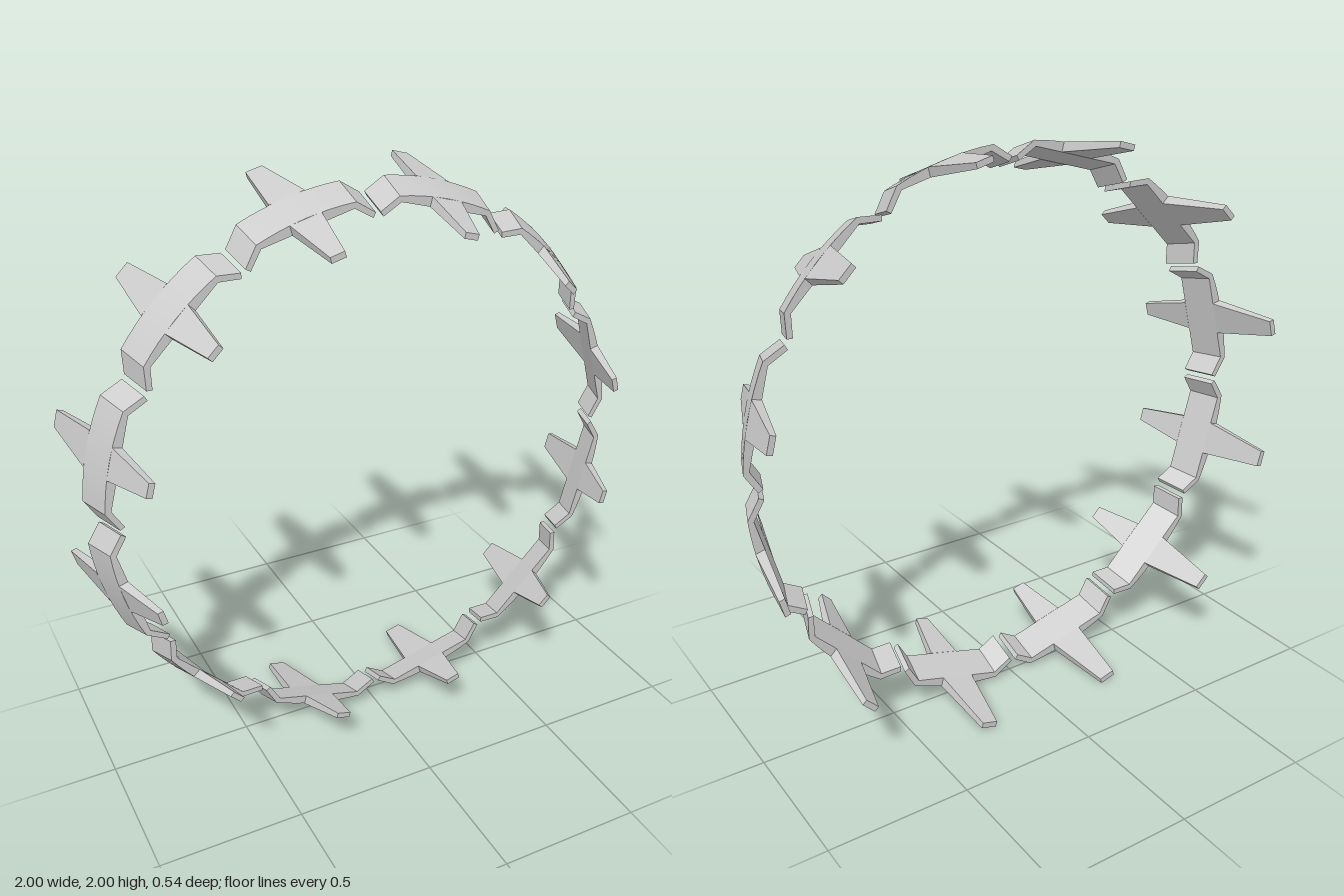
import * as THREE from 'three';
import { toCreasedNormals } from 'three/addons/utils/BufferGeometryUtils.js';

const BACK = -0.03, FRONT = 0.085; // depth range of the band

// Curved outer face, flat inner face, both ends bent inwards; the band narrows to the front
function bandGeometry() {
  const R = 0.99, bend = 0.18, steps = 8;
  const shape = new THREE.Shape();
  shape.moveTo(-0.236, 0.914);
  for (let i = 0; i <= steps; i++) {
    const t = -bend + (2 * bend * i) / steps;
    shape.lineTo(t, Math.sqrt(R * R - t * t));
  }
  shape.lineTo(0.236, 0.914);
  shape.lineTo(0.222, 0.9);
  shape.lineTo(0.168, 0.955);
  shape.lineTo(-0.168, 0.955);
  shape.lineTo(-0.222, 0.9);
  shape.closePath();
  const geo = new THREE.ExtrudeGeometry(shape, { depth: FRONT - BACK, bevelEnabled: false });
  geo.translate(0, 0, BACK);
  const p = geo.attributes.position;
  for (let i = 0; i < p.count; i++) {
    const k = 1 - 0.35 * (p.getZ(i) - BACK);
    p.setXY(i, p.getX(i) * k, p.getY(i) * k);
  }
  return toCreasedNormals(geo, 0.4);
}

// Tapered bar between two sections { z, top, half width, thick }; a is in front of b
function spikeGeometry(a, b) {
  const geo = new THREE.BoxGeometry(2, 1, 1);
  const p = geo.attributes.position;
  for (let i = 0; i < p.count; i++) {
    const s = p.getZ(i) > 0 ? a : b;
    p.setXYZ(i, p.getX(i) * s.half, s.top - (0.5 - p.getY(i)) * s.thick, s.z);
  }
  geo.computeVertexNormals();
  return geo;
}

export function createModel() {
  const material = new THREE.MeshStandardMaterial({ color: 0xcccccc });
  const parts = {
    band: bandGeometry(),
    frontSpike: spikeGeometry(
      { z: 0.27, top: 0.887, half: 0.025, thick: 0.02 },
      { z: FRONT, top: 0.949, half: 0.055, thick: 0.033 }),
    backSpike: spikeGeometry(
      { z: BACK, top: 0.989, half: 0.0625, thick: 0.034 },
      { z: -0.27, top: 1.027, half: 0.03, thick: 0.02 }),
  };

  const model = new THREE.Group();
  model.name = 'segmentedRing';
  // Twelve equal segments around the ring
  for (let i = 0; i < 12; i++) {
    const segment = new THREE.Group();
    segment.name = `segment${i + 1}`;
    for (const [name, geo] of Object.entries(parts)) {
      const mesh = new THREE.Mesh(geo, material);
      mesh.name = name;
      segment.add(mesh);
    }
    segment.position.y = 1;
    segment.rotation.z = ((i + 0.5) * Math.PI) / 6;
    model.add(segment);
  }
  return model;
}
